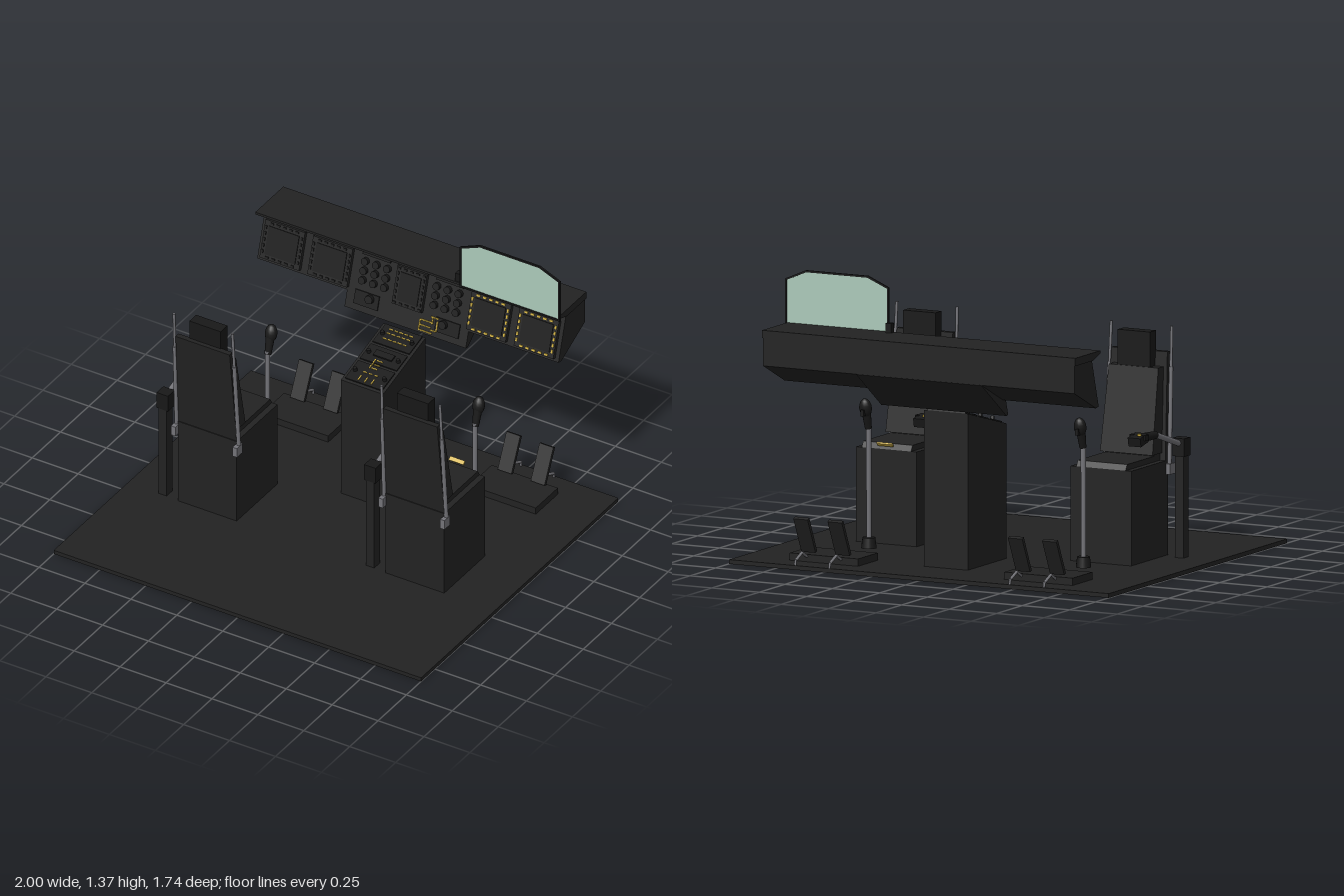
import * as THREE from 'three';

const mat = (name, color, side = THREE.FrontSide) => {
  const m = new THREE.MeshStandardMaterial({ color, side });
  m.name = name;
  return m;
};

export function createModel() {
  const black = mat('charcoal', 0x222222);
  const dark = mat('dark rubber', 0x181818);
  const steel = mat('steel grey', 0x737378);
  const yellow = mat('marking yellow', 0xd0b040);
  const glass = mat('pale green glass', 0xabc9b9, THREE.DoubleSide);

  const root = new THREE.Group();
  root.name = 'cockpitTrainer';

  const add = (parent, name, geo, m, x = 0, y = 0, z = 0) => {
    const mesh = new THREE.Mesh(geo, m);
    mesh.name = name;
    mesh.position.set(x, y, z);
    parent.add(mesh);
    return mesh;
  };
  const group = (parent, name, x = 0, y = 0, z = 0, rx = 0) => {
    const g = new THREE.Group();
    g.name = name;
    g.position.set(x, y, z);
    g.rotation.x = rx;
    parent.add(g);
    return g;
  };
  const box = (parent, name, m, w, h, d, x, y, z) =>
    add(parent, name, new THREE.BoxGeometry(w, h, d), m, x, y, z);
  // Side profile of [z, y] points, extruded across x
  const prism = (parent, name, m, pts, width, x = 0) => {
    const shape = new THREE.Shape(pts.map(([z, y]) => new THREE.Vector2(z, y)));
    const geo = new THREE.ExtrudeGeometry(shape, { depth: width, bevelEnabled: false });
    geo.rotateY(-Math.PI / 2).translate(width / 2, 0, 0);
    return add(parent, name, geo, m, x);
  };
  // Round bar between two points
  const rod = (parent, name, m, a, b, r, r2 = r) => {
    const p = new THREE.Vector3(...a), q = new THREE.Vector3(...b);
    const dir = q.clone().sub(p);
    const mesh = add(parent, name, new THREE.CylinderGeometry(r2, r, dir.length(), 12), m);
    mesh.position.copy(p).add(q).multiplyScalar(0.5);
    mesh.quaternion.setFromUnitVectors(new THREE.Vector3(0, 1, 0), dir.normalize());
    return mesh;
  };

  box(root, 'floor', black, 2, 0.02, 1.74, 0, 0.01, 0);

  // Seats, flight controls and pedals, one set per side
  for (const sx of [-0.565, 0.565]) {
    const seat = group(root, 'seat', sx);
    box(seat, 'seatBase', black, 0.32, 0.38, 0.36, 0, 0.21, 0.04);
    box(seat, 'seatPan', black, 0.32, 0.065, 0.36, 0, 0.4325, 0.04);
    prism(seat, 'seatCushion', black,
      [[-0.14, 0.465], [-0.125, 0.492], [0.21, 0.492], [0.21, 0.465]], 0.26);
    box(seat, 'lumbarBlock', black, 0.26, 0.08, 0.07, 0, 0.53, 0.175);
    const back = prism(seat, 'seatBack', black,
      [[0.107, 0.5], [0.122, 0.5], [0.205, 0.5], [0.236, 0.9], [0.178, 0.9]], 0.28);
    const shell = prism(seat, 'backShell', black,
      [[0.19, 0.4], [0.21, 0.4], [0.262, 0.97], [0.235, 0.97]], 0.32);
    for (const part of [back, shell]) { // narrow toward the top
      const p = part.geometry.attributes.position;
      for (let i = 0; i < p.count; i++) p.setX(i, p.getX(i) * (1 - 0.14 * (p.getY(i) - 0.4)));
      part.geometry.computeVertexNormals();
    }
    box(seat, 'headrest', dark, 0.17, 0.165, 0.06, 0, 0.983, 0.21);
    for (const s of [-1, 1]) {
      rod(seat, 'railLower', steel, [s * 0.17, 0.4, 0.213], [s * 0.162, 0.9, 0.245], 0.01);
      rod(seat, 'railUpper', steel, [s * 0.162, 0.88, 0.243], [s * 0.159, 1.09, 0.256], 0.007);
      box(seat, 'railFoot', steel, 0.024, 0.05, 0.05, s * 0.168, 0.425, 0.225);
    }
    if (sx > 0) {
      const handle = box(seat, 'releaseHandle', yellow, 0.08, 0.009, 0.02, 0, 0.49, -0.152);
      handle.rotation.x = 0.7;
    }

    // Cyclic stick
    const stick = group(root, 'cyclicStick', sx);
    add(stick, 'stickBoot', new THREE.CylinderGeometry(0.03, 0.036, 0.05, 16), dark, 0, 0.052, -0.31);
    rod(stick, 'stickPole', steel, [0, 0.06, -0.31], [0, 0.61, -0.312], 0.012);
    rod(stick, 'stickGrip', dark, [0, 0.59, -0.315], [0, 0.68, -0.338], 0.016, 0.022);
    const head = add(stick, 'stickHead', new THREE.SphereGeometry(1, 14, 10), dark, 0, 0.69, -0.343);
    head.scale.set(0.03, 0.046, 0.027);
    head.rotation.x = -0.2;
    box(stick, 'stickTrigger', dark, 0.014, 0.03, 0.02, 0, 0.67, -0.368);

    // Collective lever on its post
    const lever = group(root, 'collectiveLever', sx - 0.247);
    box(lever, 'leverPost', black, 0.045, 0.48, 0.05, 0, 0.26, 0.19);
    box(lever, 'leverPivot', dark, 0.062, 0.085, 0.06, 0, 0.54, 0.187);
    rod(lever, 'leverRod', steel, [0, 0.55, 0.19], [0, 0.637, -0.08], 0.014);
    rod(lever, 'leverGrip', dark, [0, 0.632, -0.07], [0, 0.638, -0.21], 0.019, 0.022);
    const top = box(lever, 'leverHead', dark, 0.066, 0.042, 0.075, 0, 0.634, -0.235);
    top.rotation.x = -0.2;
    for (const s of [-1, 1]) box(lever, 'leverSwitch', dark, 0.02, 0.025, 0.03, s * 0.033, 0.645, -0.225);
    add(lever, 'leverButton', new THREE.CylinderGeometry(0.01, 0.01, 0.009, 12), yellow, -0.015, 0.66, -0.25);

    // Rudder pedals
    const pedals = group(root, 'pedalUnit', sx);
    box(pedals, 'pedalBase', black, 0.36, 0.035, 0.195, 0, 0.037, -0.6525);
    for (const s of [-1, 1]) {
      prism(pedals, 'pedal', black,
        [[-0.733, 0.062], [-0.717, 0.068], [-0.795, 0.236], [-0.811, 0.228]], 0.075, s * 0.09);
      rod(pedals, 'pedalArm', steel, [s * 0.09, 0.07, -0.795], [s * 0.09, 0.042, -0.858], 0.007);
      rod(pedals, 'pedalHook', steel, [s * 0.09, 0.045, -0.858], [s * 0.09, 0.02, -0.862], 0.006);
      rod(pedals, 'pedalLink', steel, [s * 0.09, 0.04, -0.74], [s * 0.09, 0.07, -0.795], 0.006);
    }
  }

  // Centre console with sloping top
  prism(root, 'centreConsole', black,
    [[-0.23, 0.02], [-0.23, 0.655], [-0.605, 0.755], [-0.605, 0.02]], 0.23);
  const deck = group(root, 'consoleDeck', 0, 0.655, -0.23, Math.atan(0.1 / 0.375));
  for (const [z, d] of [[-0.075, 0.12], [-0.2, 0.1], [-0.325, 0.12]]) {
    box(deck, 'consolePanel', dark, 0.2, 0.008, d, 0, 0.003, z);
    for (const s of [-1, 1])
      add(deck, 'consoleKnob', new THREE.CylinderGeometry(0.009, 0.011, 0.02, 12), dark, s * 0.08, 0.014, z);
  }
  for (const z of [-0.3, -0.335, -0.36])
    for (let i = 0; i < 5; i++) box(deck, 'consoleMark', yellow, 0.02, 0.006, 0.005, -0.054 + i * 0.027, 0.008, z);
  for (let i = 0; i < 3; i++) {
    box(deck, 'consoleMark', yellow, 0.03, 0.006, 0.005, 0, 0.008, -0.115 - i * 0.025);
    box(deck, 'consoleMark', yellow, 0.018, 0.006, 0.005, -0.03 + i * 0.03, 0.008, -0.08);
    box(deck, 'consoleMark', yellow, 0.005, 0.006, 0.03, -0.035 + i * 0.035, 0.008, -0.04);
  }
  box(deck, 'consoleMark', yellow, 0.005, 0.006, 0.06, -0.025, 0.008, -0.14);
  box(deck, 'consoleScreen', dark, 0.1, 0.015, 0.035, 0, 0.008, -0.205);

  // Instrument panel housing
  prism(root, 'panelWings', black,
    [[-0.7, 1.075], [-0.634, 0.85], [-0.66, 0.845], [-0.87, 0.945], [-0.87, 1.075]], 1.64);
  prism(root, 'panelCentre', black,
    [[-0.7, 1.075], [-0.61, 0.77], [-0.625, 0.765], [-0.869, 0.943], [-0.869, 1.07]], 0.66);
  prism(root, 'glareShield', black,
    [[-0.625, 1.112], [-0.625, 1.1], [-0.7, 1.075], [-0.872, 1.075], [-0.872, 1.112]], 1.65);
  box(root, 'standbyCompass', dark, 0.03, 0.045, 0.03, 0.275, 1.134, -0.645);

  // Instruments on the tilted face; local y runs up the slope
  const tilt = Math.atan(0.09 / 0.305);
  const face = group(root, 'instrumentFace', 0, 0.77, -0.61, -tilt);
  const up = (h) => (h - 0.77) / Math.cos(tilt);
  const display = (cx, w, h, m) => {
    const g = group(face, 'display', cx, up(0.957));
    box(g, 'displayBezel', black, w, h, 0.022, 0, 0, 0.008);
    box(g, 'displayScreen', dark, w - 0.05, h - 0.05, 0.006, 0, 0, 0.02);
    for (let i = -2; i <= 2; i++)
      for (const s of [-1, 1]) {
        box(g, 'displayKey', m, 0.018, 0.009, 0.008, i * 0.034, s * (h / 2 - 0.011), 0.02);
        box(g, 'displayKey', m, 0.009, 0.016, 0.008, s * (w / 2 - 0.011), i * 0.03, 0.02);
      }
  };
  for (const cx of [0.432, 0.692]) {
    display(cx, 0.215, 0.19, yellow);
    display(-cx, 0.215, 0.19, dark);
  }
  display(0, 0.16, 0.19, dark);
  for (const s of [-1, 1]) {
    // Gauges and switch rows beside the centre display
    for (let r = 0; r < 3; r++)
      for (let c = 0; c < 3; c++) {
        const knob = add(face, 'gauge', new THREE.CylinderGeometry(0.018, 0.018, 0.024, 16), dark,
          s * (0.135 + c * 0.06), up(0.92 + r * 0.045), 0.008);
        knob.rotation.x = Math.PI / 2;
      }
    box(face, 'lowerPanel', dark, 0.13, 0.07, 0.008, s * 0.22, up(0.835), 0.002);
    const dial = add(face, 'lowerDial', new THREE.CylinderGeometry(0.02, 0.022, 0.03, 16), dark,
      s * 0.2, up(0.845), 0.01);
    dial.rotation.x = Math.PI / 2;
    box(face, 'upperSwitchRow', dark, 0.15, 0.02, 0.012, s * 0.2, up(1.05), 0.004);
  }
  // Warning markings low on the panel
  for (const [x, h, w, t] of [[0.11, 0.785, 0.07, 0.006], [0.105, 0.81, 0.06, 0.006], [0.11, 0.835, 0.07, 0.006],
    [0.075, 0.81, 0.006, 0.055], [0.14, 0.845, 0.006, 0.035], [0.15, 0.862, 0.04, 0.006],
    [0.168, 0.825, 0.006, 0.05], [0.15, 0.8, 0.03, 0.006], [0.43, 1.06, 0.03, 0.006]])
    box(face, 'warningMark', yellow, w, t, 0.006, x, up(h), 0.008);

  // Head-up glass with a thin black frame
  const outline = (T, e) => new T([[0.29 + e, 1.095 + e], [0.837 - e, 1.095 + e], [0.837 - e, 1.318 - e * 0.6],
    [0.727 - e * 0.3, 1.365 - e], [0.4 + e * 0.3, 1.365 - e], [0.29 + e, 1.318 - e * 0.6]]
    .map(([x, y]) => new THREE.Vector2(x, y)));
  const frame = outline(THREE.Shape, 0);
  frame.holes.push(outline(THREE.Path, 0.009));
  add(root, 'glassFrame', new THREE.ExtrudeGeometry(frame, { depth: 0.009, bevelEnabled: false }), dark, 0, 0, -0.627);
  add(root, 'headUpGlass', new THREE.ShapeGeometry(outline(THREE.Shape, 0.006)), glass, 0, 0, -0.6225);

  return root;
}
